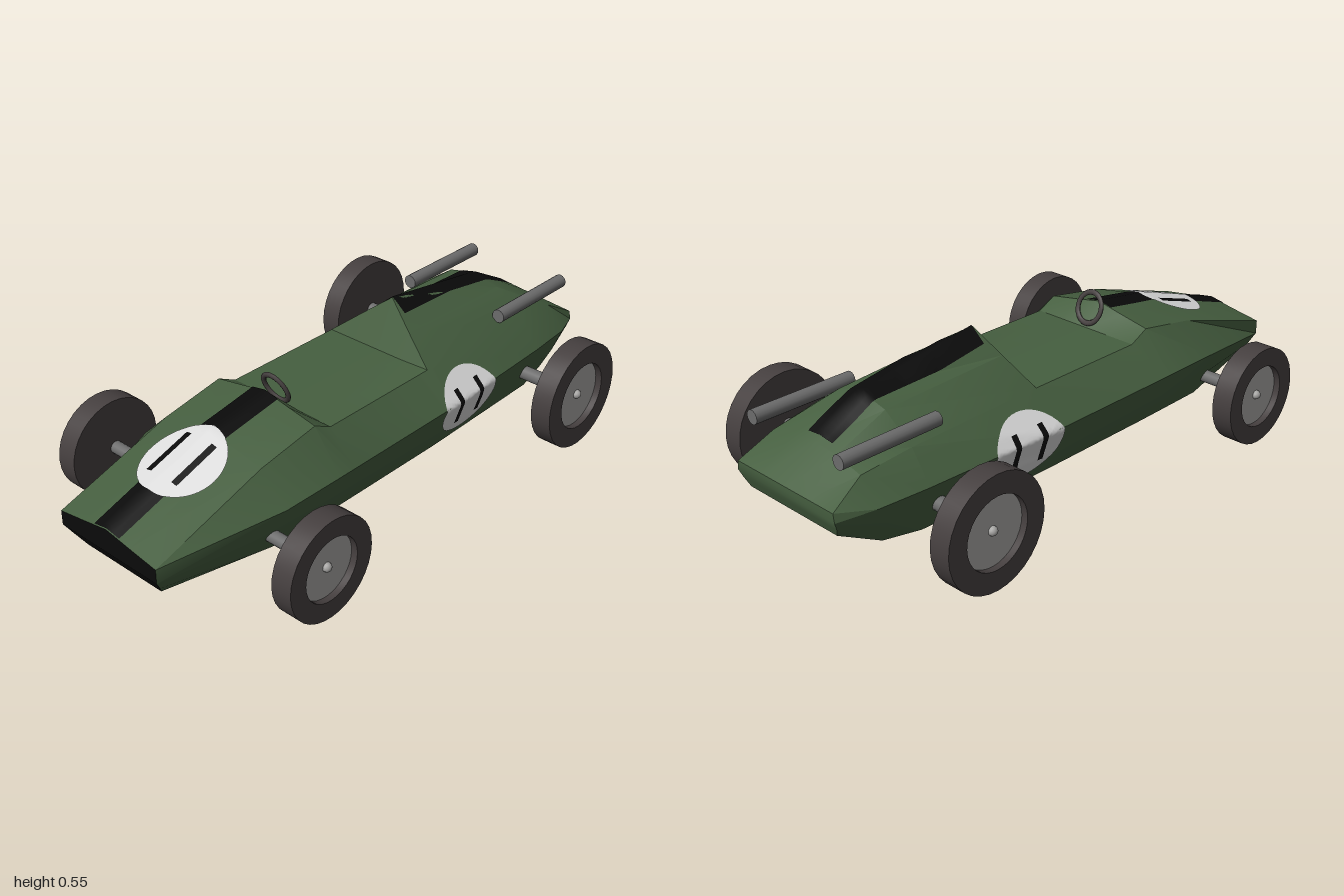
import * as THREE from 'three';
import { toCreasedNormals } from 'three/addons/utils/BufferGeometryUtils.js';

const mat = (name, color, side = THREE.FrontSide) => {
  const m = new THREE.MeshStandardMaterial({ color, side });
  m.name = name;
  return m;
};

// Body stations, nose to tail:
// z, floor x y z, waist x y, shoulder x y, ridge y z, deck bow
const STATIONS = [
  [1, .165, .11, .95, .21, .19, .21, .24, .275, 1, 0],
  [.58, .25, .107, .58, .313, .27, .21, .37, .413, .58, 0],
  [.35, .25, .103, .35, .315, .27, .21, .41, .45, .35, 0],
  [.28, .25, .102, .28, .315, .27, .21, .375, .375, .28, 0],
  [-.18, .25, .1, -.18, .315, .27, .21, .375, .375, -.18, 0],
  [-.185, .25, .1, -.185, .315, .27, .21, .376, .545, -.25, .004],
  [-.7, .245, .108, -.7, .287, .265, .215, .37, .475, -.7, .028],
  [-.88, .22, .118, -.83, .272, .265, .2, .345, .378, -.88, .008],
  [-1, .2, .19, -.975, .225, .25, .22, .28, .28, -1, 0],
];

// One closed ring of 11 points: right half up to the ridge, then its mirror
function ring([z, fx, fy, fz, wx, wy, sx, sy, ry, rz, bow]) {
  const side = [(fx + wx) / 2 + .005, (fy + wy) / 2, (fz + z) / 2];
  const deck = [sx * .48, (sy + ry) / 2 + bow, (z + rz) / 2];
  const half = [[fx, fy, fz], side, [wx, wy, z], [sx, sy, z], deck];
  const mirrored = half.map(([x, y, pz]) => [-x, y, pz]).reverse();
  return [...half, [0, ry, rz], ...mirrored];
}

// Lofted shell closed at the tail, and the separate nose opening
function bodyGeometry() {
  const n = 11, pos = STATIONS.flatMap(ring).flat(), shell = [], nose = [];
  const last = (STATIONS.length - 1) * n;
  for (let s = 0; s < last; s += n) {
    for (let i = 0; i < n; i++) {
      const a = s + i, b = s + (i + 1) % n;
      shell.push(a, a + n, b, b, a + n, b + n);
    }
  }
  for (let i = 0; i < 5; i++) {
    nose.push(i, i + 1, 10 - i);
    shell.push(last + i, last + 10 - i, last + i + 1);
    if (i < 4) {
      nose.push(i + 1, 9 - i, 10 - i);
      shell.push(last + i + 1, last + 10 - i, last + 9 - i);
    }
  }
  const make = index => {
    const g = new THREE.BufferGeometry();
    g.setAttribute('position', new THREE.Float32BufferAttribute(pos, 3));
    g.setIndex(index);
    return toCreasedNormals(g, 0.42);
  };
  return { shell: make(shell), nose: make(nose) };
}

export function createModel() {
  const car = new THREE.Group();
  car.name = 'openWheelRacingCar';
  const green = mat('body green', 0x465f40);
  const black = mat('paint black', 0x0a0a0a, THREE.DoubleSide);
  const white = mat('roundel white', 0xdedede, THREE.DoubleSide);
  const rubber = mat('tyre rubber', 0x453f3f);
  const rimGrey = mat('rim grey', 0xa6a5a3);
  const metal = mat('pipe metal', 0x6c6c6c);

  const add = (name, geometry, material, parent = car) => {
    const m = new THREE.Mesh(geometry, material);
    m.name = name;
    parent.add(m);
    return m;
  };

  // Body
  const { shell, nose } = bodyGeometry();
  const body = add('body', shell, green);
  add('noseOpening', nose, black);

  // Paint draped onto the body: start points are cast along dir, then lifted slightly
  const ray = new THREE.Raycaster();
  function drape(name, material, dir, lift, nu, nv, start) {
    const g = new THREE.PlaneGeometry(1, 1, nu, nv);
    const p = g.attributes.position;
    for (let i = 0; i < p.count; i++) {
      const from = start(p.getX(i) + .5, p.getY(i) + .5);
      ray.set(from, dir);
      const hit = ray.intersectObject(body)[0];
      const at = hit ? hit.point : from.clone().addScaledVector(dir, .7);
      at.addScaledVector(dir, -lift);
      p.setXYZ(i, at.x, at.y, at.z);
    }
    g.computeVertexNormals();
    add(name, g, material);
  }
  const down = new THREE.Vector3(0, -1, 0);
  const topRect = (x0, x1, z0, z1) => (u, v) =>
    new THREE.Vector3(x0 + (x1 - x0) * u, 1, z0 + (z1 - z0) * v);

  // Centre stripes
  drape('noseStripe', black, down, .003, 4, 40, topRect(-.055, .055, .35, .998));
  drape('tailStripe', black, down, .003, 4, 40, topRect(-.055, .055, -.86, -.252));

  // Nose roundel with two bars
  drape('noseRoundel', white, down, .005, 48, 10, (u, v) => new THREE.Vector3(
    .137 * v * Math.cos(u * Math.PI * 2), 1, .7 + .137 * v * Math.sin(u * Math.PI * 2)));
  for (const x of [-.06, .05])
    drape('noseRoundelBar', black, down, .007, 2, 8, topRect(x - .011, x + .011, .615, .78));

  // Side roundels with two bars each
  for (const s of [1, -1]) {
    const inward = new THREE.Vector3(-s, 0, 0);
    drape('sideRoundel', white, inward, .004, 48, 12, (u, v) => new THREE.Vector3(
      s, .24 + .107 * v * Math.sin(u * Math.PI * 2), -.303 + .145 * v * Math.cos(u * Math.PI * 2)));
    for (const z of [-.247, -.358])
      drape('sideRoundelBar', black, inward, .007, 2, 12, (u, v) =>
        new THREE.Vector3(s, .18 + .125 * v, z + .022 * (u - .5)));
  }

  // Wheels and axles
  function wheel(name, R, x, z) {
    const g = new THREE.Group();
    g.name = name;
    const r = R * .63;
    const profile = [[0, 0], [R, 0], [R, .075], [r, .075], [r, .05]];
    const tyre = new THREE.LatheGeometry(profile.map(p => new THREE.Vector2(...p)), 32);
    add('tyre', toCreasedNormals(tyre, .5), rubber, g);
    add('rim', new THREE.CylinderGeometry(r, r, .01, 32), rimGrey, g).position.y = .047;
    add('hubCap', new THREE.SphereGeometry(.016, 12, 8), rimGrey, g).position.y = .054;
    g.rotation.z = -Math.sign(x) * Math.PI / 2;
    g.position.set(x, R, z);
    car.add(g);
  }
  for (const [end, R, z, r] of [['front', .172, .605, .022], ['rear', .19, -.655, .025]]) {
    for (const s of [1, -1]) wheel(end + (s > 0 ? 'LeftWheel' : 'RightWheel'), R, s * .44, z);
    const axle = add(end + 'Axle', new THREE.CylinderGeometry(r, r, .89, 16), metal);
    axle.rotation.z = Math.PI / 2;
    axle.position.set(0, R, z);
  }

  // Exhaust pipes
  for (const s of [1, -1]) {
    const pipe = add('exhaustPipe', new THREE.CylinderGeometry(.024, .024, .37, 16), metal);
    pipe.rotation.x = Math.PI / 2;
    pipe.position.set(s * .197, .413, -.768);
  }

  // Steering wheel, leaning forward at the top
  const steering = add('steeringWheel', new THREE.TorusGeometry(.05, .009, 8, 24), rubber);
  steering.scale.set(1, 1.08, .8);
  steering.rotation.x = .36;
  steering.position.set(0, .44, .303);

  return car;
}
